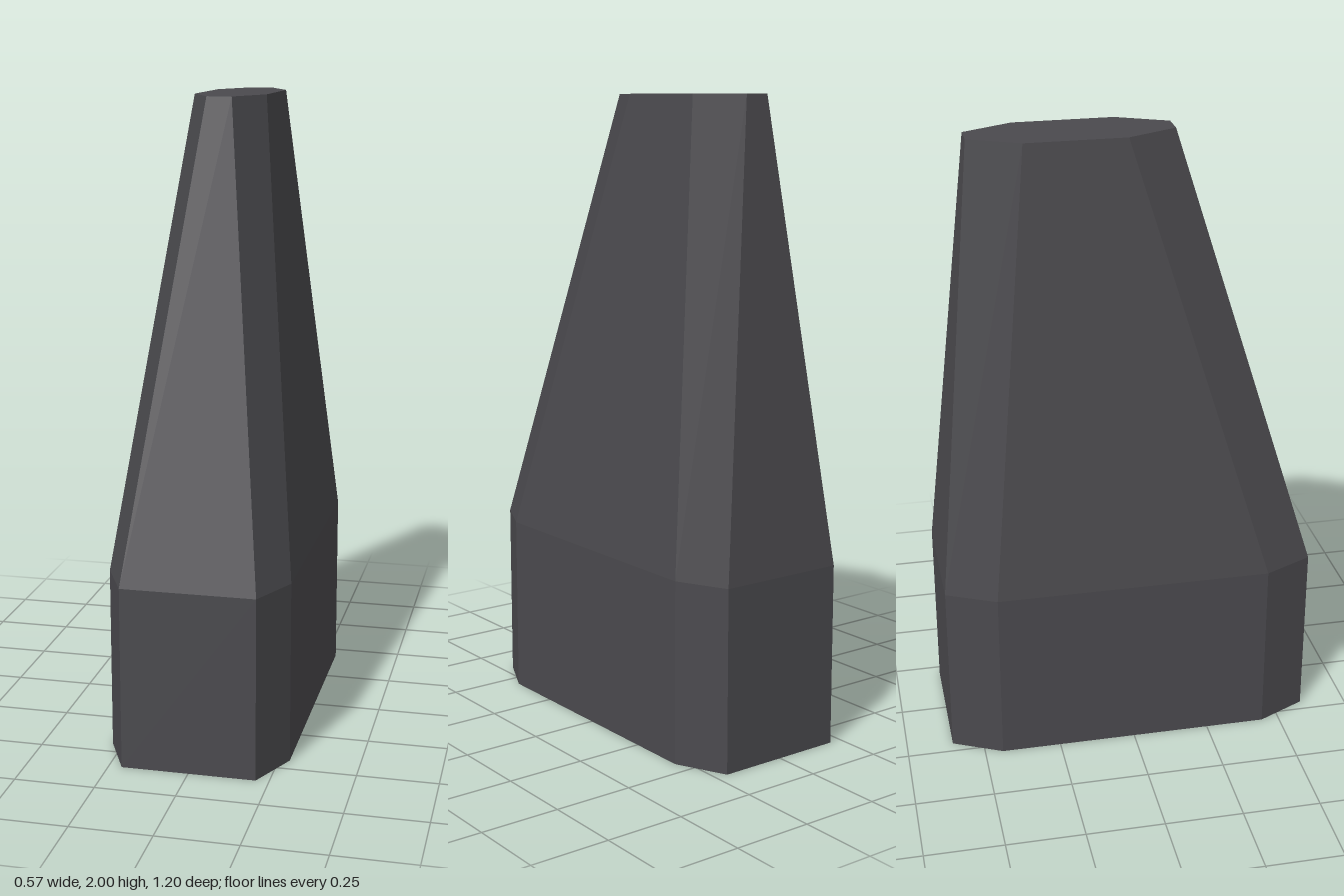
import * as THREE from 'three';

// Chamfered rectangle at height y, counter-clockwise seen from above
function ring(y, halfWidth, back, front, cutX = 0.075, cutZ = 0.158) {
  const w = halfWidth, n = halfWidth - cutX;
  const half = [[n, front], [w, front - cutZ], [w, back + cutZ], [n, back]];
  const mirrored = half.map(([x, z]) => [-x, z]).reverse();
  return [...half, ...mirrored].map(([x, z]) => [x, y, z]);
}

// Flat-faced skin through the rings, without end caps
function loft(rings) {
  const pos = [];
  for (let r = 0; r < rings.length - 1; r++) {
    const lo = rings[r], hi = rings[r + 1];
    lo.forEach((a, i) => {
      const j = (i + 1) % lo.length;
      pos.push(...a, ...lo[j], ...hi[j], ...a, ...hi[j], ...hi[i]);
    });
  }
  return toGeometry(pos);
}

// Fan that closes a ring
function cap(points, facesUp) {
  const pos = [];
  for (let i = 1; i < points.length - 1; i++) {
    const [b, c] = facesUp ? [points[i], points[i + 1]] : [points[i + 1], points[i]];
    pos.push(...points[0], ...b, ...c);
  }
  return toGeometry(pos);
}

function toGeometry(pos) {
  const g = new THREE.BufferGeometry();
  g.setAttribute('position', new THREE.Float32BufferAttribute(pos, 3));
  g.computeVertexNormals();
  return g;
}

export function createModel() {
  const group = new THREE.Group();
  group.name = 'taperedPillar';
  const stone = new THREE.MeshStandardMaterial({ color: 0x4b4a4e, flatShading: true });
  stone.name = 'dark stone';

  const bottom = ring(0, 0.284, -0.6, 0.6);
  const shoulder = ring(0.575, 0.284, -0.6, 0.6);
  const top = ring(2, 0.114, -0.46, 0.17);

  const add = (name, geometry) => {
    const mesh = new THREE.Mesh(geometry, stone);
    mesh.name = name;
    group.add(mesh);
  };

  add('plinth', loft([bottom, shoulder]));
  add('taperedShaft', loft([shoulder, top]));
  add('topFace', cap(top, true));
  add('underside', cap(bottom, false));
  return group;
}
